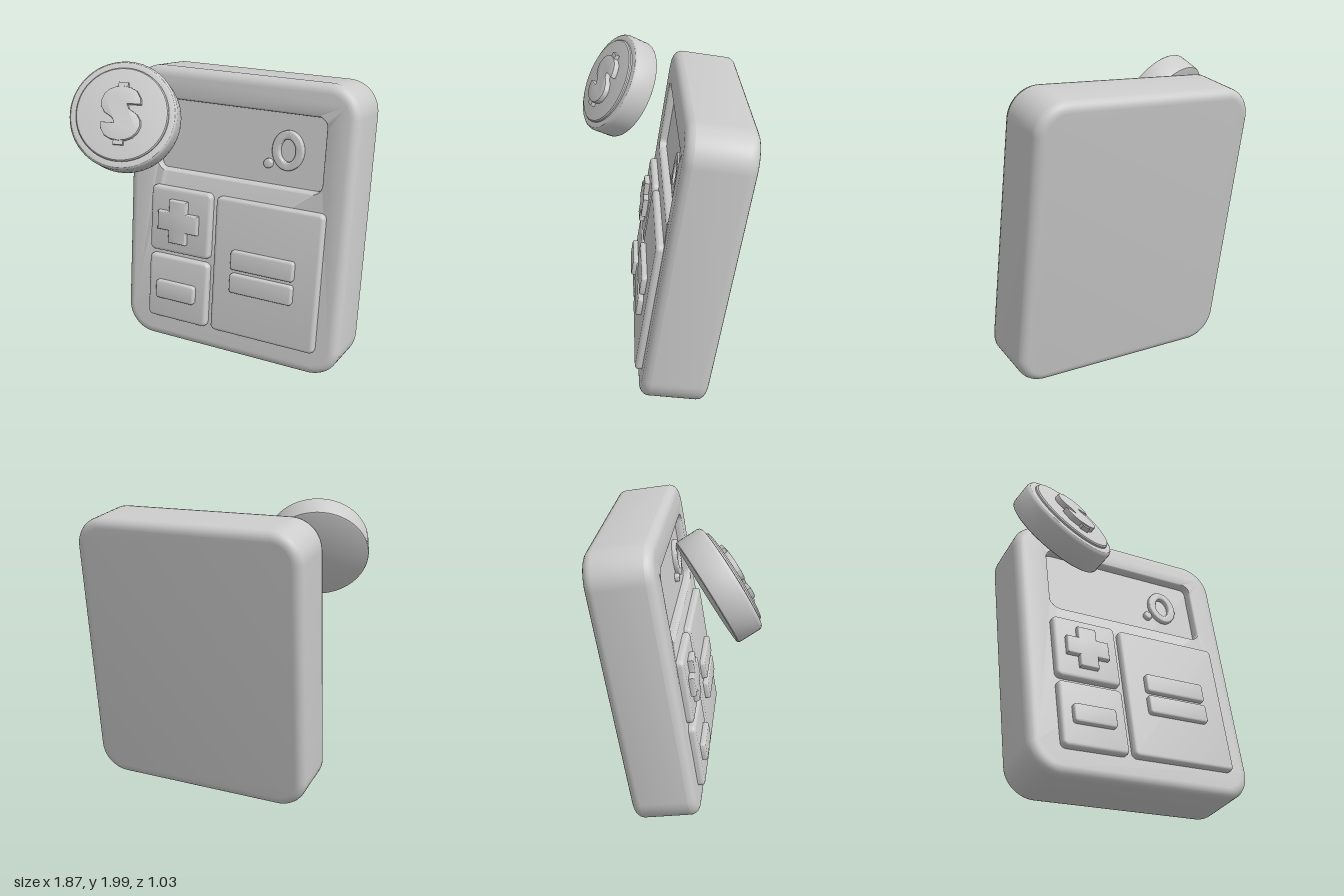
import * as THREE from 'three';
import { toCreasedNormals } from 'three/addons/utils/BufferGeometryUtils.js';

const material = new THREE.MeshStandardMaterial({ color: 0xcccccc });

function add(parent, name, geometry, x = 0, y = 0, z = 0) {
  const mesh = new THREE.Mesh(toCreasedNormals(geometry, 0.55), material);
  mesh.name = name;
  mesh.position.set(x, y, z);
  parent.add(mesh);
  return mesh;
}

// Rounded rectangle centred on (cx, cy) with half sizes a, b
function roundRect(a, b, r, cx = 0, cy = 0, Type = THREE.Shape) {
  const s = new Type();
  s.absarc(cx + a - r, cy + b - r, r, 0, Math.PI / 2);
  s.absarc(cx - a + r, cy + b - r, r, Math.PI / 2, Math.PI);
  s.absarc(cx - a + r, cy - b + r, r, Math.PI, Math.PI * 1.5);
  s.absarc(cx + a - r, cy - b + r, r, Math.PI * 1.5, Math.PI * 2);
  s.closePath();
  return s;
}

// Extrusion from z = 0 to z = height with rounded edges inside the outline
function slab(shape, height, bevel, segments = 4) {
  return new THREE.ExtrudeGeometry(shape, {
    depth: height - 2 * bevel, bevelThickness: bevel, bevelSize: bevel,
    bevelOffset: -bevel, bevelSegments: segments, curveSegments: 8,
  }).translate(0, 0, bevel);
}

const A = 0.783, B = 0.937, C = 0.21, EDGE = 0.06; // half sizes of the case
const FLOOR = 0.16;                                // depth of the display floor
const D = { x: 0.012, y: 0.497, a: 0.567, b: 0.228 }; // display opening

// One layer of the case: the full rounded block cut down to zMin..zMax
function caseLayer(zMin, zMax, open) {
  const shape = roundRect(A, B, 0.2);
  if (open) shape.holes.push(roundRect(D.a, D.b, 0.04, D.x, D.y, THREE.Path));
  const g = slab(shape, 2 * C, EDGE, 6).translate(0, 0, -C);
  const p = g.attributes.position;
  for (let i = 0; i < p.count; i++) {
    let x = p.getX(i), y = p.getY(i);
    const z = p.getZ(i);
    const inOpening = Math.abs(x - D.x) < D.a + EDGE + 0.005 && Math.abs(y - D.y) < D.b + EDGE + 0.005;
    if (open && inOpening) {
      // tighten the rounded rim of the opening
      const k = Math.min(1, Math.max(0, (Math.abs(z) - C + EDGE) / EDGE));
      const o = EDGE * (1 - Math.sqrt(1 - k * k));
      x = D.x + (x - D.x) * (D.a + o / 3) / (D.a + o);
      y = D.y + (y - D.y) * (D.b + o / 3) / (D.b + o);
    }
    p.setXYZ(i, x, y, Math.min(zMax, Math.max(zMin, z)));
  }
  return g;
}

function buildCalculator() {
  const calc = new THREE.Group();
  calc.name = 'calculator';
  add(calc, 'caseBack', caseLayer(-C, FLOOR, false));
  add(calc, 'caseFront', caseLayer(FLOOR, C, true));

  // Display digit: an oval ring and a dot
  const ring = new THREE.Shape();
  ring.absellipse(0, 0, 0.105, 0.126, 0, Math.PI * 2);
  const hole = new THREE.Path();
  hole.absellipse(0, 0, 0.052, 0.072, 0, Math.PI * 2);
  ring.holes.push(hole);
  const ringGeometry = new THREE.ExtrudeGeometry(ring, {
    depth: 0.03, bevelThickness: 0.01, bevelSize: 0.01, bevelOffset: -0.01, bevelSegments: 3, curveSegments: 32,
  });
  add(calc, 'displayRing', ringGeometry, 0.337, 0.497, FLOOR - 0.01);
  add(calc, 'displayDot', slab(roundRect(0.03, 0.03, 0.0299), 0.05, 0.01, 3), 0.21, 0.4, FLOOR - 0.02);

  // Keys: [name, left, right, bottom, top]
  const keys = [
    ['plusKey', -0.585, -0.137, -0.292, 0.154],
    ['minusKey', -0.585, -0.137, -0.77, -0.322],
    ['equalsKey', -0.103, 0.634, -0.77, 0.15],
  ];
  for (const [name, l, r, b, t] of keys) {
    add(calc, name, slab(roundRect((r - l) / 2, (t - b) / 2, 0.035), 0.085, 0.022),
      (l + r) / 2, (b + t) / 2, C - 0.04);
  }

  // Raised signs on the keys
  const top = C + 0.045 - 0.02;
  const w = 0.064, h = 0.147;
  const plus = new THREE.Shape([
    [w, w], [w, h], [-w, h], [-w, w], [-h, w], [-h, -w],
    [-w, -w], [-w, -h], [w, -h], [w, -w], [h, -w], [h, w],
  ].map(([x, y]) => new THREE.Vector2(x, y)));
  add(calc, 'plusSign', slab(plus, 0.055, 0.01, 3), -0.365, -0.068, top);
  add(calc, 'minusSign', slab(roundRect(0.145, 0.063, 0.02), 0.055, 0.012, 3), -0.365, -0.555, top);
  for (const y of [-0.243, -0.4]) {
    add(calc, 'equalsBar', slab(roundRect(0.218, 0.065, 0.02), 0.055, 0.012, 3), 0.254, y, top);
  }

  // Lean back and turn slightly to one side
  const basis = new THREE.Matrix4().makeBasis(
    new THREE.Vector3(0.97, 0.026, 0.2425),
    new THREE.Vector3(0.016, 0.985, -0.168),
    new THREE.Vector3(-0.2432, 0.167, 0.955));
  calc.quaternion.setFromRotationMatrix(basis);
  calc.position.set(0.12, 0.965, 0);
  return calc;
}

function buildCoin() {
  const coin = new THREE.Group();
  coin.name = 'coin';
  // Disc with a rounded rim and a raised inner face
  const profile = [
    [0, -0.09], [0.325, -0.09], [0.334, -0.085], [0.338, -0.075],
    [0.338, 0.055], [0.334, 0.068], [0.325, 0.077], [0.312, 0.08],
    [0.29, 0.08], [0.289, 0.09], [0.282, 0.098], [0.27, 0.1], [0, 0.1],
  ].map(([x, y]) => new THREE.Vector2(x, y));
  add(coin, 'coinDisc', new THREE.LatheGeometry(profile, 64).rotateX(Math.PI / 2));

  // Curved relief with half-turn symmetry
  const half = [
    [-0.05, -0.03], [-0.1, 0.0], [-0.124, 0.035], [-0.128, 0.07], [-0.11, 0.115], [-0.08, 0.145],
    [-0.04, 0.162], [0, 0.167], [0.05, 0.16], [0.09, 0.14], [0.115, 0.1], [0.122, 0.06], [0.035, 0.06],
  ];
  const outline = [...half, ...half.map(([x, y]) => [-x, -y])];
  const relief = new THREE.Shape(outline.map(([x, y]) => new THREE.Vector2(x, y)));
  add(coin, 'coinRelief', slab(relief, 0.05, 0.005, 2), 0, 0, 0.085);
  for (const s of [-1, 1]) {
    add(coin, 'reliefTab', new THREE.BoxGeometry(0.06, 0.04, 0.045), 0, s * 0.172, 0.105);
  }

  const normal = new THREE.Vector3(0.08, 0.5, 0.86).normalize();
  coin.quaternion.setFromUnitVectors(new THREE.Vector3(0, 0, 1), normal);
  coin.position.set(-0.595, 1.668, 0.27);
  return coin;
}

export function createModel() {
  const model = new THREE.Group();
  model.name = 'calculatorWithCoin';
  model.add(buildCalculator(), buildCoin());
  return model;
}
